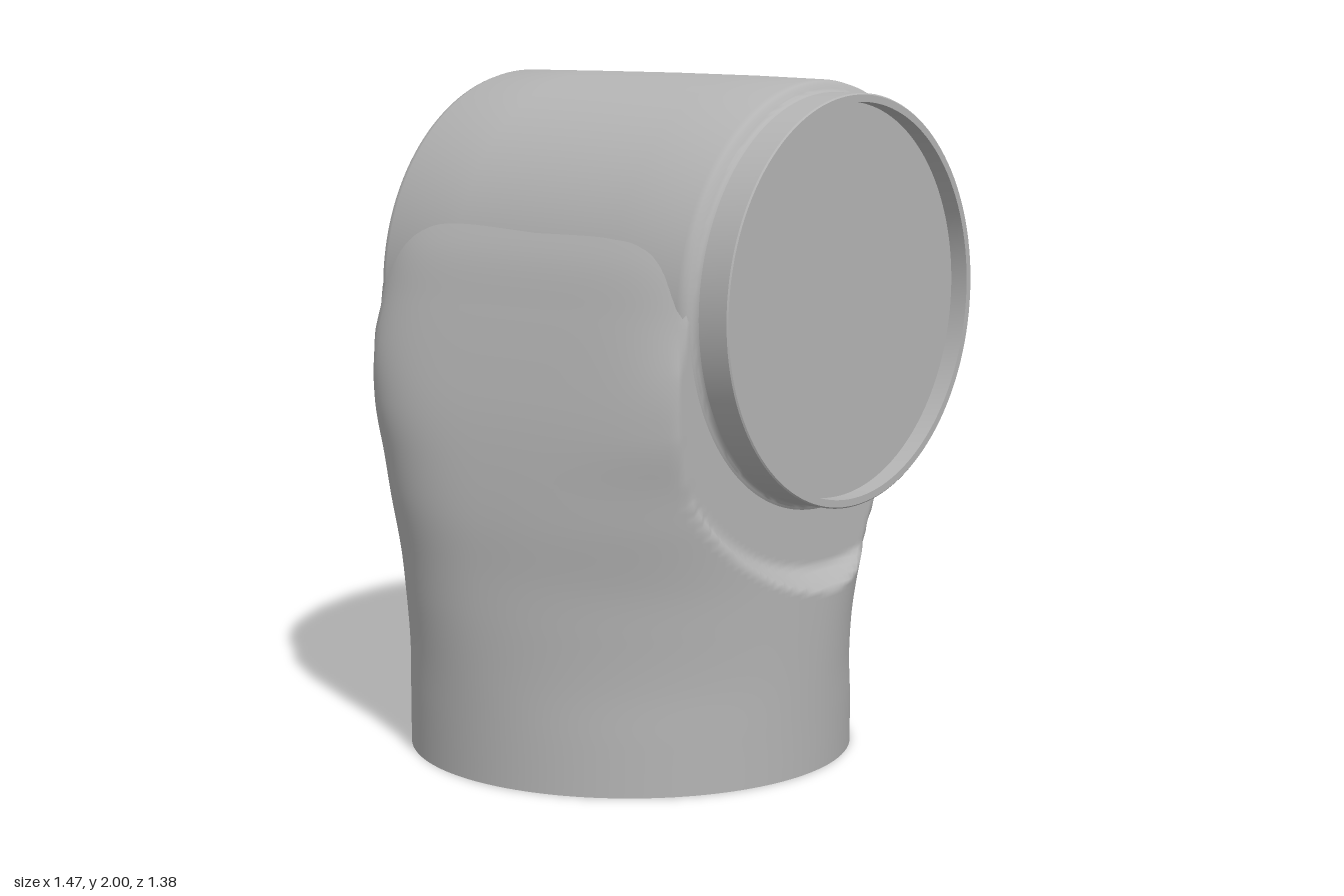
import * as THREE from 'three';
import { toCreasedNormals } from 'three/addons/utils/BufferGeometryUtils.js';

const AXIS = { x: 0.095, y: 1.365 }; // centre of the horizontal barrel
const FOOT = { x: -0.07, z: -0.015 }; // centre of the round foot

function lathe(profile) {
  const points = profile.map(([r, h]) => new THREE.Vector2(r, h));
  return toCreasedNormals(new THREE.LatheGeometry(points, 128), 0.6);
}

// Lofted neck: right and left halves are superellipses, trimmed by the flat end faces
function neckGeometry() {
  // y, left x, right x, left squareness, right squareness, half depth
  const stations = [
    [0, -0.735, 0.595, 2, 2, 0.665],
    [0.15, -0.733, 0.56, 2, 2.1, 0.667],
    [0.3, -0.73, 0.505, 2, 2.25, 0.67],
    [0.45, -0.725, 0.458, 2.1, 2.6, 0.673],
    [0.6, -0.715, 0.446, 2.3, 3.2, 0.675],
    [0.75, -0.705, 0.482, 2.7, 4, 0.675],
    [0.9, -0.685, 0.545, 3.3, 5.5, 0.675],
    [1.05, -0.658, 0.642, 4.4, 8, 0.675],
    [1.2, -0.622, 0.7, 5.5, 8, 0.675],
    [1.35, -0.582, 0.71, 5.5, 8, 0.675],
    [1.5, -0.537, 0.69, 5.5, 8, 0.675],
    [1.65, -0.465, 0.58, 5.5, 8, 0.675],
  ];
  const curve = (a, b, c) => new THREE.CatmullRomCurve3(
    stations.map((s) => new THREE.Vector3(s[a], s[b], s[c])), false, 'catmullrom', 0.5);
  const sides = curve(1, 0, 2);
  const shape = curve(3, 4, 5);
  const rows = 110, cols = 180;
  const position = [], index = [];
  for (let j = 0; j <= rows; j++) {
    const side = sides.getPoint(j / rows);
    const form = shape.getPoint(j / rows);
    for (let i = 0; i < cols; i++) {
      const t = (i / cols) * Math.PI * 2;
      const c = Math.cos(t), s = Math.sin(t);
      const half = c > 0 ? side.z - FOOT.x : FOOT.x - side.x;
      const n = c > 0 ? form.y : form.x;
      const r = Math.pow(Math.pow(Math.abs(c) / half, n) + Math.pow(Math.abs(s) / form.z, n), -1 / n);
      const x = FOOT.x + r * c;
      // flat faces round the barrel axis, ending in a short concave step
      const d = Math.hypot(x - AXIS.x, side.y - AXIS.y);
      const step = 0.12 * THREE.MathUtils.smoothstep(d, 0.78, 0.86);
      const z = THREE.MathUtils.clamp(FOOT.z + r * s, -0.597 - step, 0.571 + step);
      position.push(x, side.y, z);
      if (j < rows) {
        const a = j * cols + i, b = j * cols + ((i + 1) % cols);
        index.push(a, a + cols, b, b, a + cols, b + cols);
      }
    }
  }
  const geometry = new THREE.BufferGeometry();
  geometry.setAttribute('position', new THREE.Float32BufferAttribute(position, 3));
  geometry.setIndex(index);
  geometry.computeVertexNormals();
  return geometry;
}

export function createModel() {
  const group = new THREE.Group();
  const grey = new THREE.MeshStandardMaterial({ color: 0xb4b4b4 });
  grey.name = 'satin grey';

  function add(name, geometry, x = 0, y = 0, z = 0) {
    const mesh = new THREE.Mesh(geometry, grey);
    mesh.name = name;
    mesh.position.set(x, y, z);
    group.add(mesh);
    return mesh;
  }

  add('neck', neckGeometry());

  // Underside with a round socket
  add('footSocket', lathe([[0, 0.07], [0.333, 0.07], [0.333, 0], [0.665, 0]]), FOOT.x, 0, FOOT.z);

  // Slightly bulging barrel with rounded ends
  const barrel = add('barrel', lathe([
    [0, -0.6], [0.605, -0.6], [0.617, -0.597], [0.625, -0.589], [0.63, -0.572],
    [0.633, -0.3], [0.635, 0], [0.634, 0.3], [0.63, 0.54],
    [0.626, 0.558], [0.617, 0.569], [0.605, 0.574], [0.598, 0.58], [0.595, 0.59],
  ]), AXIS.x, AXIS.y);

  // Front collar with a recessed face
  const collar = add('frontCollar', lathe([
    [0.595, 0.59], [0.595, 0.686], [0.591, 0.69], [0.57, 0.69], [0.57, 0.635], [0, 0.635],
  ]), AXIS.x, AXIS.y);

  // Round boss on the back
  const boss = add('backBoss', lathe([[0, -0.67], [0.333, -0.67], [0.333, -0.6]]), AXIS.x, AXIS.y);
  for (const mesh of [barrel, collar, boss]) mesh.rotation.x = Math.PI / 2;

  // Small alignment marks on the back
  add('upperMark', new THREE.BoxGeometry(0.012, 0.05, 0.006), AXIS.x, 0.745, -0.599);
  add('lowerMark', new THREE.BoxGeometry(0.012, 0.045, 0.006), FOOT.x, 0.025, -0.68);

  return group;
}
